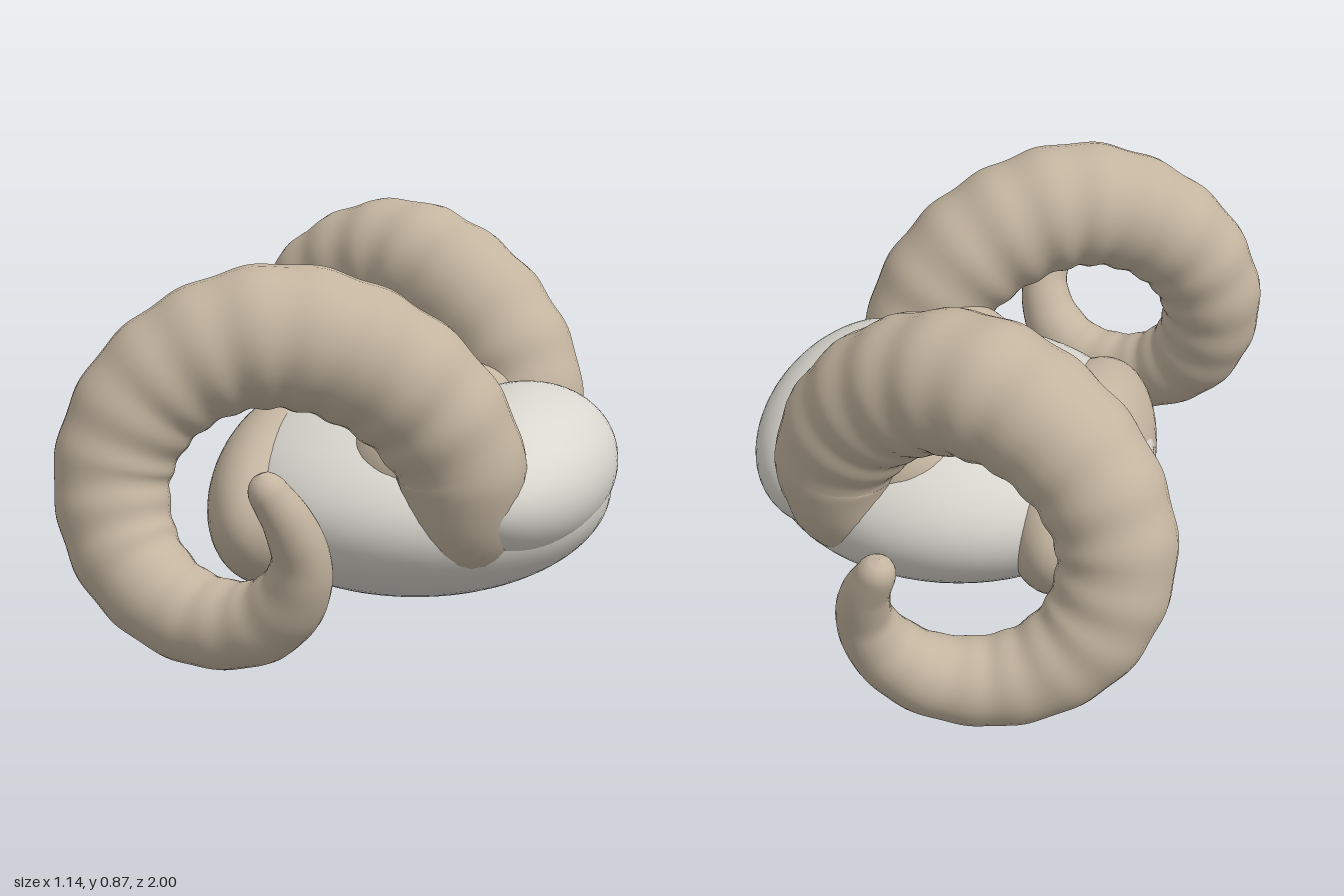
import * as THREE from 'three';

const mat = (name, color) => {
  const m = new THREE.MeshStandardMaterial({ color });
  m.name = name;
  return m;
};

// Centreline of the left horn from root to tip: x, y, z, radius
const HORN = [
  [0.24, 0.22, 0.16, 0.12], [0.262, 0.25, 0.27, 0.135], [0.275, 0.31, 0.34, 0.14],
  [0.272, 0.43, 0.375, 0.149], [0.19, 0.57, 0.415, 0.157],
  [0.05, 0.675, 0.475, 0.16], [-0.1, 0.715, 0.537, 0.16],
  [-0.25, 0.68, 0.59, 0.15], [-0.38, 0.575, 0.637, 0.14], [-0.44, 0.42, 0.675, 0.13],
  [-0.4, 0.26, 0.717, 0.12], [-0.3, 0.165, 0.755, 0.108], [-0.18, 0.13, 0.785, 0.1],
  [-0.05, 0.155, 0.82, 0.09], [0.03, 0.23, 0.855, 0.078], [0.06, 0.32, 0.89, 0.063],
  [0.045, 0.41, 0.93, 0.053], [0.012, 0.48, 0.957, 0.042], [0.0, 0.52, 0.968, 0.036],
];

// Tapering tube with soft growth rings and rounded ends
function hornGeometry(side) {
  const rings = 320, sides = 28, ridges = 22;
  const curve = new THREE.CatmullRomCurve3(HORN.map(([x, y, z]) => new THREE.Vector3(x, y, z * side)));
  const radii = new THREE.CatmullRomCurve3(HORN.map((p, i) => new THREE.Vector3(p[3], i * 0.1, 0)));
  const frames = curve.computeFrenetFrames(rings, false);
  const length = curve.getLength();
  const round = (d, r) => (d < r ? Math.sqrt(Math.max(0, 1 - (1 - d / r) ** 2)) : 1);
  const pos = [], index = [];
  for (let j = 0; j <= rings; j++) {
    const u = j / rings;
    const t = curve.getUtoTmapping(u);
    const c = curve.getPoint(t);
    let r = radii.getPoint(t).x;
    // Growth rings crowd together towards the tip and fade at both ends
    const phase = ridges * (0.8 * u + 0.2 * u * u) * Math.PI * 2;
    r *= 1 + 0.021 * Math.sin(phase) * (1 - u ** 4) * Math.min(1, u * 6);
    r *= round(u * length, 0.03) * round((1 - u) * length, 0.04);
    for (let i = 0; i < sides; i++) {
      const a = (i / sides) * Math.PI * 2;
      const p = c.clone()
        .addScaledVector(frames.normals[j], -Math.cos(a) * r)
        .addScaledVector(frames.binormals[j], Math.sin(a) * r);
      pos.push(p.x, p.y, p.z);
      if (j === 0) continue;
      const k = (i + 1) % sides;
      const A = (j - 1) * sides + i, B = j * sides + i, C = j * sides + k, D = (j - 1) * sides + k;
      index.push(A, B, D, B, C, D);
    }
  }
  const g = new THREE.BufferGeometry();
  g.setAttribute('position', new THREE.Float32BufferAttribute(pos, 3));
  g.setIndex(index);
  g.computeVertexNormals();
  return g;
}

const BODY = { c: [0.077, 0.257, 0], r: [0.48, 0.252, 0.485] };

// Height of the body's upper surface
function bodyTop(x, z) {
  const q = 1 - ((x - BODY.c[0]) / BODY.r[0]) ** 2 - (z / BODY.r[2]) ** 2;
  return BODY.c[1] + BODY.r[1] * Math.sqrt(q);
}

export function createModel() {
  const model = new THREE.Group();
  model.name = 'hornedShell';
  const white = mat('bone white', 0xd9d7cf);
  const tan = mat('horn tan', 0xc4b5a0);
  const plum = mat('dark plum', 0x5c3644);

  const add = (name, geometry, material) => {
    const m = new THREE.Mesh(geometry, material);
    m.name = name;
    model.add(m);
    return m;
  };
  const ellipsoid = (name, c, r, material) => {
    const g = new THREE.SphereGeometry(1, 56, 36);
    g.scale(...r);
    add(name, g, material).position.set(...c);
  };

  ellipsoid('body', BODY.c, BODY.r, white);
  ellipsoid('backPad', [-0.23, 0.233, 0], [0.169, 0.23, 0.45], tan);
  ellipsoid('brow', [0.33, 0.312, 0], [0.238, 0.19, 0.445], white);

  // Horns with their swollen roots
  for (const [label, side] of [['front', 1], ['back', -1]]) {
    add(label + 'Horn', hornGeometry(side), tan);
    ellipsoid(label + 'HornRoot', [0.15, 0.375, 0.275 * side], [0.16, 0.14, 0.145], tan);
  }

  // Three stitches lying on top of the body
  const stitches = [[-0.04, -0.17, 0.1, -0.22], [0.07, -0.085, 0.22, -0.04], [0.155, 0.09, 0.31, 0.175]];
  for (const [x0, z0, x1, z1] of stitches) {
    const a = new THREE.Vector3(x0, bodyTop(x0, z0) + 0.01, z0);
    const b = new THREE.Vector3(x1, Math.max(bodyTop(x1, z1), 0.478) + 0.01, z1);
    const d = b.clone().sub(a);
    const s = add('stitch', new THREE.CylinderGeometry(0.019, 0.019, d.length(), 8), plum);
    s.position.copy(a).add(b).multiplyScalar(0.5);
    s.quaternion.setFromUnitVectors(new THREE.Vector3(0, 1, 0), d.normalize());
  }
  return model;
}
